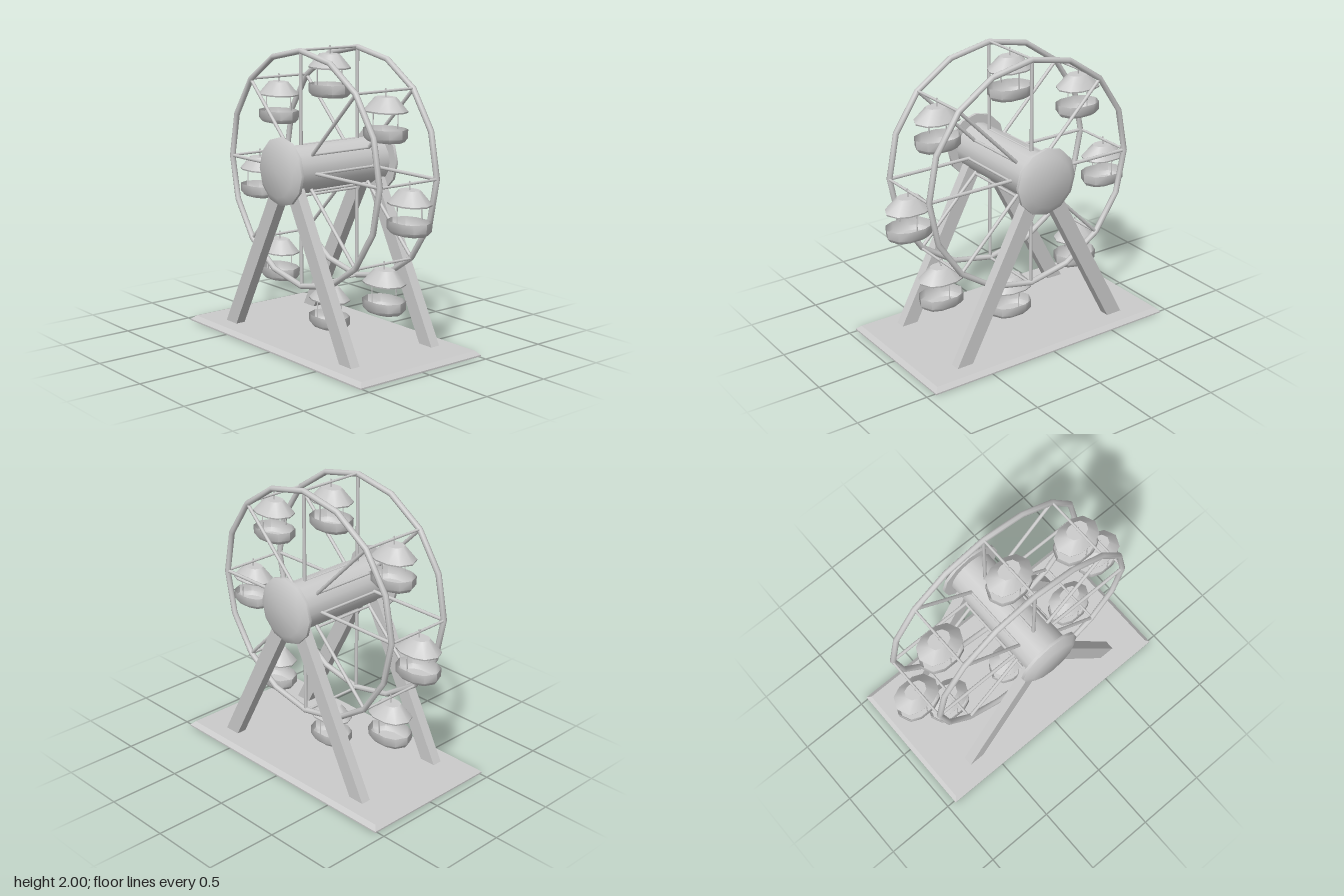
import * as THREE from 'three';
import { toCreasedNormals } from 'three/addons/utils/BufferGeometryUtils.js';

const CENTER_Y = 1.19, RIM_R = 0.785, RIM_Z = 0.24, COUNT = 8;
const material = new THREE.MeshStandardMaterial({ color: 0xcccccc });
const thinMaterial = new THREE.MeshStandardMaterial({ color: 0xcccccc, side: THREE.DoubleSide });

function add(parent, name, geometry, mat = material) {
  const mesh = new THREE.Mesh(geometry, mat);
  mesh.name = name;
  parent.add(mesh);
  return mesh;
}

// Round bar between two points
function bar(parent, name, from, to, radius) {
  const a = new THREE.Vector3(...from), b = new THREE.Vector3(...to);
  const mesh = add(parent, name, new THREE.CylinderGeometry(radius, radius, a.distanceTo(b), 8));
  mesh.position.copy(a).lerp(b, 0.5);
  mesh.quaternion.setFromUnitVectors(new THREE.Vector3(0, 1, 0), b.sub(a).normalize());
  return mesh;
}

// Stacks scaled copies of an [x, z] outline; rings are [y, scaleX, scaleZ] from bottom to top
function loft(outline, rings, crease) {
  const n = outline.length, positions = [], index = [];
  for (const [y, sx, sz] of rings) for (const [x, z] of outline) positions.push(x * sx, y, z * sz);
  for (let r = 0; r < rings.length - 1; r++) {
    for (let i = 0; i < n; i++) {
      const a = r * n + i, b = r * n + (i + 1) % n;
      index.push(a, a + n, b, b, a + n, b + n);
    }
  }
  const geometry = new THREE.BufferGeometry();
  geometry.setAttribute('position', new THREE.Float32BufferAttribute(positions, 3));
  geometry.setIndex(index);
  geometry.computeVertexNormals();
  return toCreasedNormals(geometry, crease);
}

// Ten-sided plan shared by roof and basket
const cabinPlan = [[0.16, 0], [0.125, 0.08], [0.055, 0.11], [-0.055, 0.11], [-0.125, 0.08],
  [-0.16, 0], [-0.125, -0.08], [-0.055, -0.11], [0.055, -0.11], [0.125, -0.08]];
const roofGeometry = loft(cabinPlan,
  [[-0.132, 0.98, 0.98], [-0.122, 1, 1], [-0.036, 0.48, 0.48], [-0.036, 0, 0]], 0.8);
const basketGeometry = loft(cabinPlan,
  [[-0.318, 0, 0], [-0.318, 0.86, 0.8], [-0.292, 0.99, 0.99], [-0.235, 1, 1]], 0.8);

// Cabin hanging below its pivot at the origin
function createCabin() {
  const cabin = new THREE.Group();
  cabin.name = 'cabin';
  add(cabin, 'cabinRoof', roofGeometry, thinMaterial);
  add(cabin, 'cabinBasket', basketGeometry, thinMaterial);
  bar(cabin, 'cabinHanger', [0, -0.05, 0], [0, 0.02, 0], 0.005);
  for (const z of [-0.104, 0.104]) {
    bar(cabin, 'cabinPole', [0, -0.25, z], [0, -0.12, z], 0.004);
  }
  return cabin;
}

function createWheel() {
  const wheel = new THREE.Group();
  wheel.name = 'wheel';
  wheel.position.y = CENTER_Y;

  // Two sixteen-sided rims
  for (const z of [-RIM_Z, RIM_Z]) {
    add(wheel, 'rim', new THREE.TorusGeometry(RIM_R, 0.02, 8, 16)).position.z = z;
  }

  // Spokes, cross bars and cabins
  for (let i = 0; i < COUNT; i++) {
    const angle = i / COUNT * Math.PI * 2, c = Math.cos(angle), s = Math.sin(angle);
    for (const z of [-RIM_Z, RIM_Z]) {
      bar(wheel, 'spoke', [c * 0.15, s * 0.15, z], [c * RIM_R, s * RIM_R, z], 0.012);
    }
    for (const r of [0.17, RIM_R + 0.005]) {
      bar(wheel, r < 0.5 ? 'innerCrossBar' : 'outerCrossBar',
        [c * r, s * r, -RIM_Z], [c * r, s * r, RIM_Z], 0.009);
    }
    const cabin = createCabin();
    cabin.position.set(c * 0.795, s * (RIM_R + 0.005), 0);
    wheel.add(cabin);
  }
  return wheel;
}

export function createModel() {
  const model = new THREE.Group();
  model.name = 'ferrisWheel';

  // Base plate with bevelled upper edge
  const rectangle = [[0.94, 0.515], [-0.94, 0.515], [-0.94, -0.515], [0.94, -0.515]];
  add(model, 'basePlate', loft(rectangle,
    [[0, 0, 0], [0, 1, 1], [0.01, 1, 1], [0.037, 0.97, 0.945], [0.037, 0, 0]], 0.2));

  // Four slanted legs
  for (const side of [-1, 1]) {
    for (const z of [-0.345, 0.345]) {
      const shape = new THREE.Shape([[0.69, 0.03], [0.123, 1.1], [0.004, 1.1], [0.571, 0.03]]
        .map(([x, y]) => new THREE.Vector2(side * x, y)));
      const geometry = new THREE.ExtrudeGeometry(shape, { depth: 0.07, bevelEnabled: false });
      add(model, 'leg', geometry).position.z = z - 0.035;
    }
  }

  // Axle drum with bevelled end caps
  const axle = add(model, 'axle', new THREE.CylinderGeometry(0.163, 0.163, 0.79, 16));
  axle.rotation.x = Math.PI / 2;
  axle.position.y = 1.2;
  const profile = [[0, 0.39], [0.228, 0.39], [0.228, 0.41], [0.17, 0.445], [0, 0.445]]
    .map(([r, y]) => new THREE.Vector2(r, y));
  const capGeometry = toCreasedNormals(new THREE.LatheGeometry(profile, 12), 0.9);
  for (const side of [-1, 1]) {
    const cap = add(model, 'axleCap', capGeometry);
    cap.rotation.x = side * Math.PI / 2;
    cap.position.y = 1.2;
  }

  model.add(createWheel());
  return model;
}
